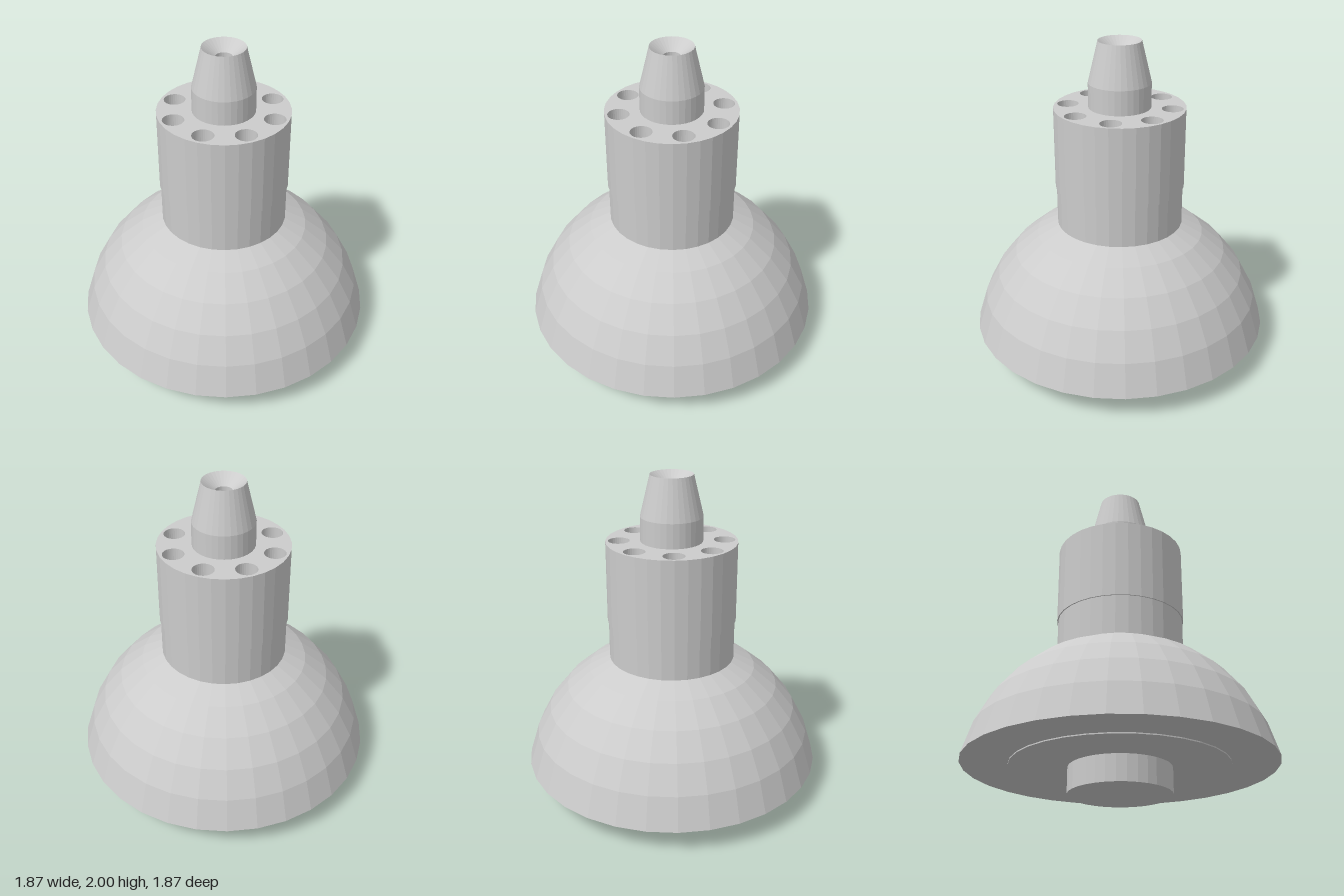
import * as THREE from 'three';

const SIDES = 32;
const material = new THREE.MeshStandardMaterial({ color: 0xcccccc, flatShading: true });

// Solid of revolution from [radius, height] pairs, listed bottom to top along the outside
function turned(name, profile) {
  const points = profile.map(([r, y]) => new THREE.Vector2(r, y));
  const mesh = new THREE.Mesh(new THREE.LatheGeometry(points, SIDES), material);
  mesh.name = name;
  return mesh;
}

// Round slab with a ring of eight holes
function drilledSlab(name, y0, y1, radius, holeRadius) {
  const shape = new THREE.Shape().absarc(0, 0, radius, 0, Math.PI * 2, false);
  for (let i = 0; i < 8; i++) {
    const a = (i * Math.PI) / 4;
    shape.holes.push(new THREE.Path().absarc(
      0.318 * Math.cos(a), 0.318 * Math.sin(a), holeRadius, 0, Math.PI * 2, true));
  }
  const geometry = new THREE.ExtrudeGeometry(shape, {
    depth: y1 - y0, bevelEnabled: false, curveSegments: SIDES / 2,
  });
  geometry.rotateX(-Math.PI / 2).translate(0, y0, 0);
  const mesh = new THREE.Mesh(geometry, material);
  mesh.name = name;
  return mesh;
}

export function createModel() {
  const model = new THREE.Group();
  model.name = 'domedFitting';

  // Foot and the thin disc under the dome
  model.add(turned('foot', [[0, 0], [0.31, 0], [0.31, 0.16], [0, 0.16]]));
  model.add(turned('baseDisc', [[0, 0.158], [0.655, 0.158], [0.655, 0.17], [0, 0.17]]));

  // Faceted dome: a band of a sphere, closed below
  const dome = [[0, 0.165], [0.935, 0.165]];
  for (let i = 2; i <= 5; i++) {
    const a = (i * Math.PI) / 16;
    dome.push([0.945 * Math.cos(a), 0.945 * Math.sin(a)]);
  }
  dome.push([0.393, 0.853], [0, 0.853]);
  model.add(turned('dome', dome));

  // Neck and drilled body with stepped holes
  model.add(turned('neck', [[0, 0.84], [0.393, 0.84], [0.393, 1.1], [0, 1.1]]));
  model.add(turned('bodyBase', [[0, 1.1], [0.4, 1.1], [0.4, 1.3], [0, 1.3]]));
  model.add(drilledSlab('bodyMiddle', 1.3, 1.5, 0.4, 0.04));
  model.add(drilledSlab('bodyTop', 1.5, 1.6, 0.4, 0.065));

  // Tapered nozzle with a funnel mouth and a blind bore
  model.add(turned('nozzle', [
    [0, 1.59], [0.19, 1.59], [0.19, 1.75], [0.13, 2],
    [0.05, 1.94], [0.05, 1.75], [0, 1.75],
  ]));

  return model;
}
